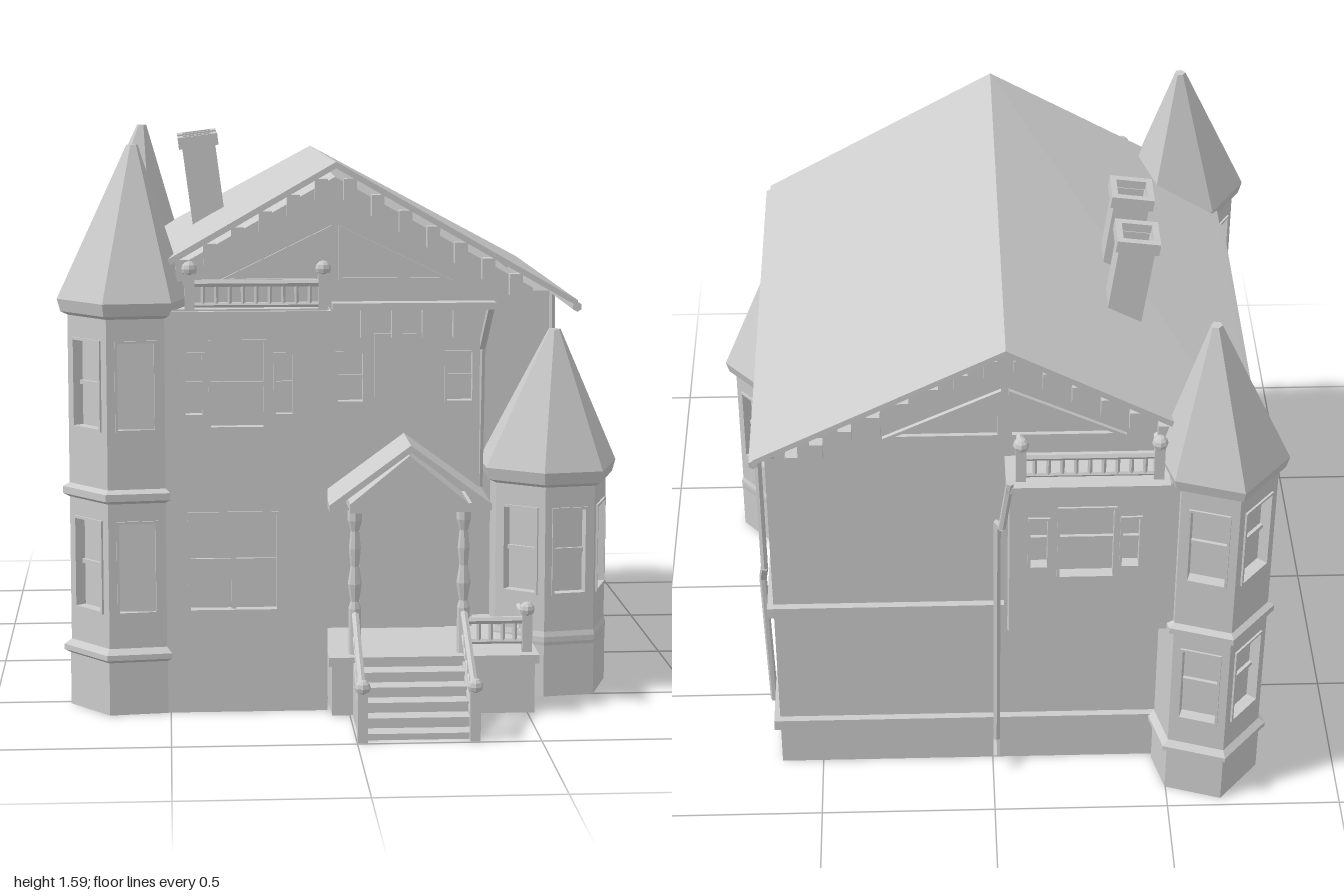
import * as THREE from 'three';

const mat = new THREE.MeshStandardMaterial({ color: 0xcccccc, flatShading: true, side: THREE.DoubleSide });
const V = (x, y, z) => new THREE.Vector3(x, y, z), R = Math.PI / 2;
function add(parent, name, geo, x = 0, y = 0, z = 0) {
  const m = new THREE.Mesh(geo, mat);
  m.name = name;
  m.position.set(x, y, z);
  parent.add(m);
  return m;
}
function sub(parent, name) {
  const g = new THREE.Group();
  g.name = name;
  return parent.add(g) && g;
}
// box given by its limits on each axis
const box = (parent, name, x0, x1, y0, y1, z0, z1) =>
  add(parent, name, new THREE.BoxGeometry(x1 - x0, y1 - y0, z1 - z0), (x0 + x1) / 2, (y0 + y1) / 2, (z0 + z1) / 2);
// round bar between two points
function rod(parent, name, a, b, r) {
  const m = add(parent, name, new THREE.CylinderGeometry(r, r, a.distanceTo(b), 6));
  m.position.copy(a).lerp(b, 0.5);
  m.quaternion.setFromUnitVectors(V(0, 1, 0), b.clone().sub(a).normalize());
}
// side faces through horizontal loops [y, [[x, z], ...]]; open loops are not closed at the end
function loft(parent, name, loops, open = false) {
  const pos = [];
  for (let k = 1; k < loops.length; k++) {
    const [y0, A] = loops[k - 1], [y1, B] = loops[k];
    for (let i = 0; i < A.length - (open ? 1 : 0); i++) {
      const j = (i + 1) % A.length;
      const q = [[A[i][0], y0, A[i][1]], [A[j][0], y0, A[j][1]], [B[j][0], y1, B[j][1]], [B[i][0], y1, B[i][1]]];
      for (const n of [0, 1, 2, 0, 2, 3]) pos.push(...q[n]);
    }
  }
  const g = new THREE.BufferGeometry().setAttribute('position', new THREE.Float32BufferAttribute(pos, 3));
  g.computeVertexNormals();
  add(parent, name, g);
}
const vec2 = pts => pts.map(p => new THREE.Vector2(...p));
function shape(pts, holes = []) {
  const s = new THREE.Shape(vec2(pts));
  s.holes = holes.map(h => new THREE.Path(vec2(h)));
  return s;
}
const extrude = (pts, depth, ...holes) => new THREE.ExtrudeGeometry(shape(pts, holes), { depth, bevelEnabled: false });
const rect = (w, h, x = 0, y = 0) => [[x - w / 2, y - h / 2], [x + w / 2, y - h / 2], [x + w / 2, y + h / 2], [x - w / 2, y + h / 2]];
const dist = (p, q) => Math.hypot(q[0] - p[0], q[1] - p[1]);
// flat wall from p to q (outside on the right) with recessed windows [along, y, width, height, mullions]
function wall(parent, p, q, y0, y1, windows = []) {
  const g = sub(parent, 'wall'), len = dist(p, q);
  g.position.set(p[0], 0, p[1]);
  g.rotation.y = Math.atan2(p[1] - q[1], q[0] - p[0]);
  const holes = windows.map(([u, y, w, h]) => rect(w, h, u, y));
  add(g, 'wallPanel', new THREE.ShapeGeometry(shape([[0, y0], [len, y0], [len, y1], [0, y1]], holes)));
  for (const [u, y, w, h, bars = 0] of windows) {
    add(g, 'windowFrame', extrude(rect(w, h), 0.035, rect(w - 0.014, h - 0.014)), u, y, -0.029);
    add(g, 'pane', new THREE.PlaneGeometry(w, h), u, y, -0.027);
    add(g, 'sashRail', new THREE.BoxGeometry(w, 0.012, 0.01), u, y, -0.022);
    for (let i = 1; i <= bars; i++) add(g, 'mullion', new THREE.BoxGeometry(0.014, h, 0.016), u - w / 2 + w * i / (bars + 1), y, -0.02);
  }
}
// run of walls around a footprint; windows are listed per wall number
function walls(parent, name, pts, y0, y1, windows = {}) {
  const g = sub(parent, name);
  pts.forEach((p, i) => wall(g, p, pts[(i + 1) % pts.length], y0, y1, windows[i]));
}
// polygonal tower: outline, number of outer walls, centre, roof tip, window rows and the walls that carry them
function tower(parent, line, sides, [cx, cz], tip, eave, tipY, rows, edges, ledge) {
  const g = sub(parent, 'tower');
  const L = s => line.map(([x, z]) => [cx + (x - cx) * s, cz + (z - cz) * s]), outer = s => L(s).slice(0, sides + 1);
  loft(g, 'towerBase', [[0, outer(1.02)], [0.15, outer(1.02)], [0.16, outer(ledge)], [0.175, outer(ledge)], [0.19, outer(1)]], true);
  for (let i = 0; i < sides; i++) {
    const len = dist(line[i], line[i + 1]);
    wall(g, line[i], line[i + 1], 0.18, eave, edges.includes(i) ? rows.map(([a, b]) => [len / 2, (a + b) / 2, len * 0.72, b - a]) : []);
  }
  if (rows.length > 1) loft(g, 'towerBelt', [[0.6, outer(1)], [0.61, outer(1.12)], [0.63, outer(1.12)], [0.64, outer(1)]], true);
  const end = line.map(([x, z]) => [tip[0] + (x - cx) * 0.1, tip[1] + (z - cz) * 0.1]);
  loft(g, 'towerRoof', [[eave - 0.01, L(1)], [eave, L(1.12)], [eave + 0.035, L(1.18)], [tipY, end], [tipY, end.map(() => tip)]]);
}
// post with ball
function newel(parent, x, y0, y1, z) {
  box(parent, 'newelPost', x - 0.014, x + 0.014, y0, y1 - 0.025, z - 0.014, z + 0.014);
  add(parent, 'newelBall', new THREE.SphereGeometry(0.022, 8, 6), x, y1 - 0.02, z);
}
// railing between two base points
function railing(parent, a, b, h, n) {
  const g = sub(parent, 'railing'), at = (t, y) => a.clone().lerp(b, t).add(V(0, y, 0));
  rod(g, 'topRail', at(0, h), at(1, h), 0.011);
  rod(g, 'bottomRail', a, b, 0.008);
  for (let i = 1; i <= n; i++) rod(g, 'baluster', at(i / (n + 1), 0), at(i / (n + 1), h), 0.007);
}

export function createModel() {
  const house = new THREE.Group();
  house.name = 'house';
  // walls, open underneath; the ground floor steps back at the porch
  const bayWindows = [[0.35, 0.93, 0.16, 0.25], [0.23, 0.93, 0.06, 0.18], [0.48, 0.93, 0.06, 0.18]];
  const rightBack = [[0.38, 0.2], [0.62, 0.2], [0.62, -0.785], [-0.66, -0.785]];
  const lower = [[-0.66, 0.64], [-0.06, 0.64], [-0.06, 0.35], [0.38, 0.35], ...rightBack];
  const upper = [[-0.66, 0.64], [-0.06, 0.64], [-0.06, 0.51], [0.38, 0.51], ...rightBack];
  walls(house, 'groundFloor', lower, 0, 0.6, {
    0: [[0.338, 0.43, 0.255, 0.285, 1]], 7: [[0.55, 0.42, 0.5, 0.28, 2]],
    5: [[0.09, 0.43, 0.15, 0.28], [0.355, 0.43, 0.31, 0.29, 1], [0.65, 0.43, 0.2, 0.29, 1]],
  });
  walls(house, 'upperFloor', upper, 0.6, 1.14, {
    0: bayWindows, 2: [[0.073, 0.93, 0.085, 0.15], [0.383, 0.93, 0.085, 0.15]],
    5: [[0.21, 0.925, 0.23, 0.25], [0.49, 0.925, 0.22, 0.25]], 7: [[0.38, 0.94, 0.26, 0.23, 1], [0.72, 0.94, 0.26, 0.23, 1]],
  });
  add(house, 'upperFloorSlab', extrude(upper, 0.015), 0, 0.6, 0).rotation.x = R;
  box(house, 'bayDeck', -0.5, -0.05, 1.115, 1.135, 0.48, 0.655);
  // back bay with sloped underside
  const bay = sub(house, 'backBay');
  wall(bay, [-0.04, -0.78], [-0.04, -0.91], 0.61, 1.13);
  wall(bay, [-0.04, -0.91], [-0.53, -0.91], 0.61, 1.13, bayWindows.map(([u, ...rest]) => [0.56 - u, ...rest]));
  add(bay, 'bayUnderside', extrude([[0.78, 0.5], [0.91, 0.61], [0.78, 0.61]], 0.42), -0.46, 0, 0).rotation.y = R;
  box(bay, 'bayTop', -0.47, -0.03, 1.115, 1.135, -0.925, -0.77);
  // belt courses on right, back and left
  for (const y of [0.165, 0.6]) {
    const g = sub(house, 'beltCourse');
    box(g, 'beltRight', 0.61, 0.637, y - 0.02, y + 0.015, -0.805, 0.2);
    box(g, 'beltBack', y > 0.5 ? -0.03 : -0.5, 0.637, y - 0.02, y + 0.015, -0.805, -0.775);
    box(g, 'beltLeft', -0.68, -0.65, y - 0.02, y + 0.015, -0.7, 0.4);
  }
  // main roof with sagging back ridge
  const ridge = -0.03, roofY = x => 1.54 - 0.575 * Math.abs(x - ridge);
  const slab = extrude([[-0.72, 1.124], [ridge, 1.522], [0.65, 1.132], [0.65, 1.15], [ridge, 1.54], [-0.72, 1.144]], 1.385);
  slab.translate(0, 0, -0.825);
  const p = slab.attributes.position;
  for (let i = 0; i < p.count; i++) if (p.getZ(i) < 0 && Math.abs(p.getX(i) - ridge) < 0.1) p.setY(i, p.getY(i) - 0.025);
  for (let i = 0; i < p.count; i++) if (p.getZ(i) < 0 && p.getX(i) > 0) p.setZ(i, -0.805);
  slab.computeVertexNormals();
  add(house, 'roof', slab);
  add(house, 'gable', extrude([[-0.66, 1.125], [0.53, 1.125], [0.53, 1.18], [ridge, 1.495], [-0.66, 1.14]], 1.285), 0, 0, -0.78);
  for (const x of [-0.72, 0.65]) rod(house, 'gutter', V(x, 1.13, -0.8), V(x, 1.13, x < 0 ? 0.32 : 0.55), 0.014);
  for (const z of [0.505, -0.792]) {
    const g = sub(house, 'gableTrim');
    for (const s of [-1, 1]) {
      const tri = [[0.01 * s, 1.205], [0.33 * s, 1.205], [0.01 * s, 1.36]], hole = [[0.02 * s, 1.212], [0.295 * s, 1.212], [0.02 * s, 1.345]];
      add(g, 'gablePanelFrame', extrude(tri, 0.012, hole), ridge, 0, z);
      for (let i = 0; i < 7; i++) {
        const x = ridge + s * (0.04 + 0.078 * i), y = roofY(x) - (z > 0 ? 0.025 : 0.045);
        box(g, 'bracket', x - 0.018, x + 0.018, y - 0.06, y, z - (z > 0 ? 0 : 0.02), z + 0.04);
      }
    }
  }
  // leaning chimneys with hollow caps
  for (const z of [-0.155, -0.375]) {
    const g = sub(house, 'chimney');
    g.position.set(-0.37, 1.3, z);
    g.rotation.z = 0.13;
    add(g, 'chimneyShaft', extrude(rect(0.1, 0.09), 0.36, rect(0.08, 0.07)), 0, -0.1, 0).rotation.x = -R;
    add(g, 'chimneyCap', extrude(rect(0.12, 0.115), 0.035, rect(0.085, 0.075)), 0, 0.25, 0).rotation.x = -R;
  }
  // towers: front left, back left, and the low one on the right
  const rows = [[0.285, 0.55], [0.8, 1.055]];
  tower(house, [[-0.69, 0.38], [-0.78, 0.52], [-0.67, 0.66], [-0.51, 0.64], [-0.47, 0.5], [-0.53, 0.37]], 3,
    [-0.62, 0.5], [-0.595, 0.47], 1.125, 1.585, rows, [0, 1, 2], 1.13);
  tower(house, [[-0.47, -0.8], [-0.5, -0.92], [-0.655, -0.97], [-0.77, -0.84], [-0.72, -0.69], [-0.56, -0.67]], 5,
    [-0.62, -0.82], [-0.58, -0.82], 1.125, 1.585, rows, [1, 2, 3], 1.13);
  tower(house, [[0.5, 0.2], [0.44, 0.28], [0.44, 0.43], [0.57, 0.525], [0.715, 0.5], [0.775, 0.32], [0.66, 0.19]], 6,
    [0.61, 0.37], [0.61, 0.395], 0.62, 1.05, [[0.295, 0.55]], [2, 3, 4, 5], 1.03);
  // balconies above both bays
  for (const [z, inner] of [[0.62, 0.5], [-0.885, -0.8]]) {
    const g = sub(house, 'balcony');
    for (const x of [-0.44, -0.07]) {
      newel(g, x, 1.12, 1.27, z);
      railing(g, V(x, 1.15, z), V(x, 1.15, inner), 0.06, 2);
    }
    railing(g, V(-0.44, 1.15, z), V(-0.07, 1.15, z), 0.06, 9);
  }
  // front cornice and doors
  box(house, 'cornice', -0.04, 0.42, 1.125, 1.145, 0.48, 0.56);
  for (let i = 0; i < 4; i++) box(house, 'corniceBracket', 0.04 + i * 0.087, 0.072 + i * 0.087, 1.045, 1.125, 0.51, 0.545);
  box(house, 'balconyDoor', 0.08, 0.24, 0.805, 1.055, 0.5, 0.52);
  box(house, 'frontDoor', 0.05, 0.3, 0.17, 0.58, 0.345, 0.36);
  // drainpipes
  for (const path of [
    [[0.65, 1.13, 0.04], [0.65, 0.62, 0.05], [0.66, 0.56, 0.02], [0.65, 0.05, 0.02]],
    [[0.65, 1.13, -0.63], [0.65, 0.62, -0.63], [0.66, 0.54, -0.58], [0.65, 0.05, -0.57]],
    [[-0.04, 1.15, -0.92], [-0.02, 0.97, -0.89], [-0.01, 0.92, -0.81], [-0.01, 0.1, -0.81], [-0.01, 0.06, -0.84]],
    [[0.41, 1.13, 0.52], [0.395, 1.0, 0.43], [0.39, 0.6, 0.43]],
    [[-0.68, 1.13, -0.62], [-0.68, 0.05, -0.62]],
    [[-0.68, 1.13, 0.17], [-0.68, 0.64, 0.17], [-0.69, 0.56, 0.12], [-0.68, 0.05, 0.12]],
  ]) for (let i = 1; i < path.length; i++) rod(house, 'drainpipe', V(...path[i - 1]), V(...path[i]), 0.011);
  // porch floor, gable roof, columns and railing
  const porch = sub(house, 'porch');
  walls(porch, 'porchBase', [[-0.05, 0.7], [0.52, 0.7], [0.52, 0.2], [-0.05, 0.2]], 0, 0.15);
  box(porch, 'porchFloor', -0.06, 0.53, 0.145, 0.17, 0.2, 0.72);
  add(porch, 'porchRoof', extrude([[-0.06, 0.585], [0.165, 0.75], [0.39, 0.585], [0.39, 0.605], [0.165, 0.77], [-0.06, 0.605]], 0.25), 0, 0, 0.49);
  add(porch, 'porchGable', extrude([[0, 0.6], [0.33, 0.6], [0.165, 0.735]], 0.21), 0, 0, 0.49);
  box(porch, 'porchBeam', 0, 0.34, 0.575, 0.6, 0.5, 0.7);
  const turned = [[0.018, 0], [0.018, 0.13], [0.012, 0.15], [0.02, 0.2], [0.012, 0.25], [0.017, 0.3], [0.012, 0.35], [0.02, 0.38], [0.02, 0.41]];
  for (const x of [0.015, 0.32]) add(porch, 'porchColumn', new THREE.LatheGeometry(vec2(turned), 8), x, 0.17, 0.67);
  railing(porch, V(0.33, 0.2, 0.67), V(0.5, 0.2, 0.67), 0.06, 4);
  railing(porch, V(0.5, 0.2, 0.67), V(0.5, 0.2, 0.5), 0.06, 3);
  newel(porch, 0.5, 0.17, 0.31, 0.67);
  // front steps with sloped railings
  const steps = sub(house, 'frontSteps');
  for (let i = 0; i < 5; i++) {
    const y = 0.14 - i * 0.03, z = 0.72 + i * 0.05;
    box(steps, 'tread', 0.02, 0.315, y - 0.012, y, z - 0.01, z + 0.055);
    box(steps, 'riser', 0.02, 0.315, Math.max(0, y - 0.03), y - 0.01, z + 0.035, z + 0.045);
  }
  for (const x of [0.015, 0.32]) {
    add(steps, 'stringer', extrude([[-0.7, 0], [-0.7, 0.165], [-0.98, 0.02], [-0.98, 0]], 0.014), x - 0.007, 0, 0).rotation.y = R;
    newel(steps, x, 0, 0.17, 0.98);
    railing(steps, V(x, 0.07, 0.975), V(x, 0.22, 0.69), 0.065, 5);
  }
  return house;
}
